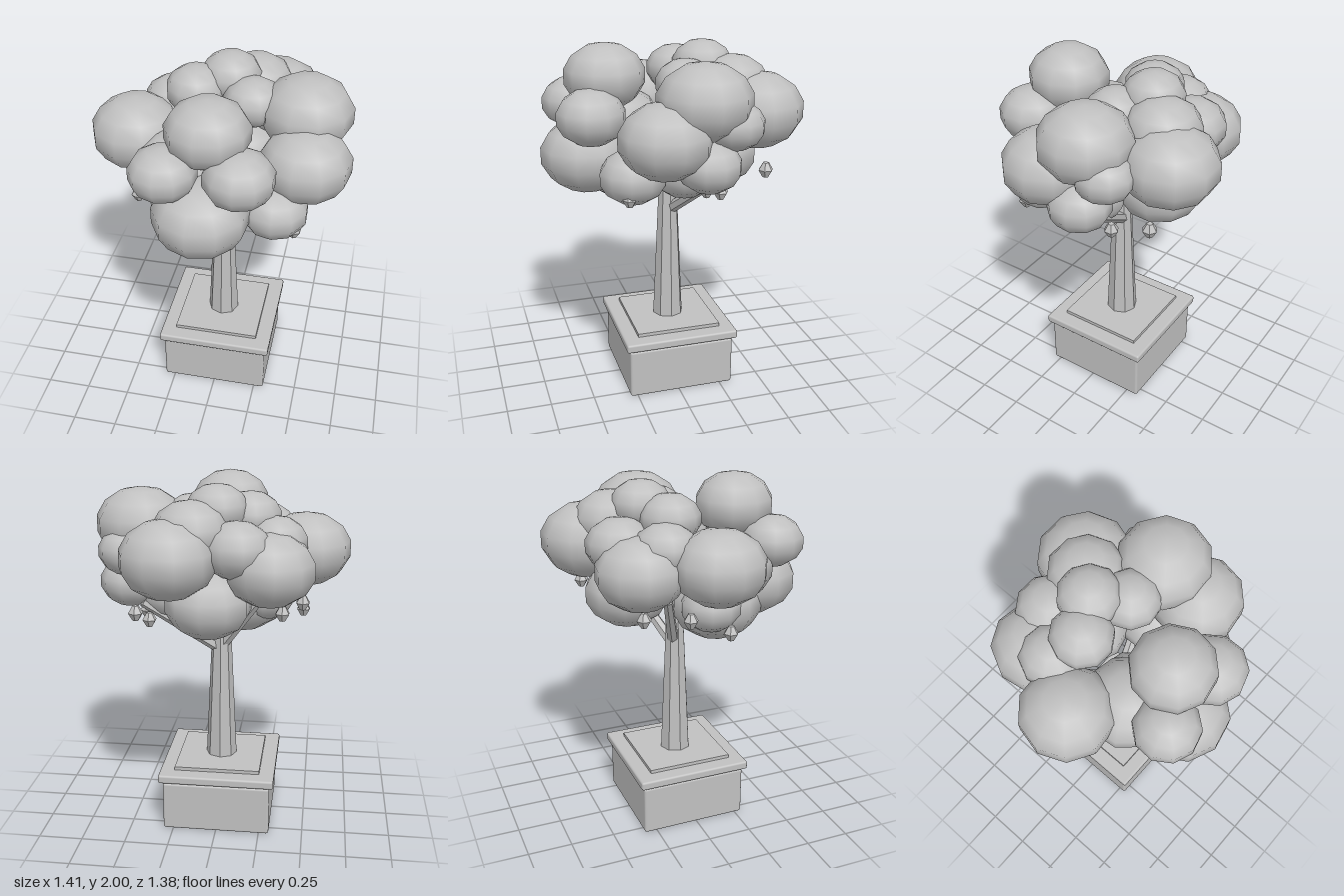
import * as THREE from 'three';
import { RoundedBoxGeometry } from 'three/addons/geometries/RoundedBoxGeometry.js';

export function createModel() {
  const model = new THREE.Group();
  model.name = 'pottedTree';
  const grey = new THREE.MeshStandardMaterial({ color: 0xc0c0c0 });
  grey.name = 'grey';

  const add = (name, geometry, parent = model) => {
    const mesh = new THREE.Mesh(geometry, grey);
    mesh.name = name;
    parent.add(mesh);
    return mesh;
  };
  const group = (name) => {
    const g = new THREE.Group();
    g.name = name;
    model.add(g);
    return g;
  };
  const flat = (geometry) => {
    const g = geometry.toNonIndexed();
    g.computeVertexNormals();
    return g;
  };

  // Square planter with a rim and a raised bed of soil
  const planter = group('planter');
  const slab = (name, width, y0, y1, bevel) => {
    const geometry = bevel
      ? new RoundedBoxGeometry(width, y1 - y0, width, 2, bevel)
      : new THREE.BoxGeometry(width, y1 - y0, width);
    add(name, geometry, planter).position.set(0, (y0 + y1) / 2, -0.016);
  };
  slab('planterBody', 0.615, 0, 0.29, 0.014);
  slab('planterNeck', 0.58, 0.27, 0.31, 0);
  slab('planterRim', 0.66, 0.3, 0.35, 0.012);
  slab('soil', 0.49, 0.33, 0.37, 0);

  // Tapered limb between two points
  const limb = (name, from, to, r0, r1, sides, parent) => {
    const a = new THREE.Vector3(...from);
    const b = new THREE.Vector3(...to);
    const dir = b.clone().sub(a);
    const mesh = add(name, flat(new THREE.CylinderGeometry(r1, r0, dir.length(), sides)), parent);
    mesh.position.copy(a).add(b).multiplyScalar(0.5);
    mesh.quaternion.setFromUnitVectors(new THREE.Vector3(0, 1, 0), dir.normalize());
  };
  const wood = group('wood');
  limb('trunk', [0, 0.36, -0.016], [0, 1.25, -0.016], 0.09, 0.05, 8, wood);
  limb('branchLeft', [0.02, 1.04, -0.03], [0.42, 1.33, -0.17], 0.034, 0.026, 6, wood);
  limb('branchRight', [-0.01, 1.06, -0.03], [-0.24, 1.38, -0.15], 0.034, 0.026, 6, wood);

  // Leaf clumps: x, y, z, horizontal radius
  const clumps = [
    [0.225, 1.64, -0.45, 0.255],
    [0.43, 1.75, -0.085, 0.25],
    [-0.465, 1.61, 0.045, 0.247],
    [0.46, 1.57, 0.13, 0.245],
    [-0.01, 1.82, 0.335, 0.22],
    [-0.03, 1.39, 0.44, 0.255],
    [-0.21, 1.645, 0.475, 0.175],
    [0.17, 1.645, 0.45, 0.185],
    [0.33, 1.355, 0.27, 0.178],
    [-0.1, 1.3, 0.19, 0.26],
    [-0.2, 1.52, 0.22, 0.24],
    [-0.29, 1.57, -0.32, 0.24],
    [-0.31, 1.69, -0.19, 0.17],
    [-0.17, 1.81, -0.11, 0.165],
    [-0.12, 1.68, -0.37, 0.185],
    [0.12, 1.76, -0.34, 0.205],
    [0.0, 1.86, -0.21, 0.165],
    [0.145, 1.79, -0.07, 0.16],
    [0.48, 1.63, -0.23, 0.158],
    [0.5, 1.43, -0.09, 0.17],
    [0.04, 1.37, -0.285, 0.235],
    [-0.24, 1.32, 0.1, 0.168],
    [0.3, 1.365, -0.02, 0.19],
  ];
  const foliage = group('foliage');
  const ball = new THREE.SphereGeometry(1, 10, 7);
  clumps.forEach(([x, y, z, r], i) => {
    const clump = add('leafClump', ball, foliage);
    clump.position.set(x, y, z);
    clump.scale.set(r * 1.02, r * 0.82, r * 1.02);
    clump.rotation.y = i * 1.3;
  });

  // Small faceted fruits hanging under the crown
  const fruits = group('fruits');
  const profile = [[0, -0.04], [0.017, -0.04], [0.041, 0], [0.017, 0.04], [0, 0.04]];
  const gem = flat(new THREE.LatheGeometry(profile.map((p) => new THREE.Vector2(...p)), 6));
  [
    [-0.46, 1.24, 0.12],
    [-0.46, 1.34, -0.11],
    [-0.36, 1.34, -0.33],
    [0.4, 1.35, -0.445],
    [0.38, 1.24, -0.2],
    [0.41, 1.27, -0.11],
    [0.44, 1.27, 0.315],
  ].forEach((p) => add('fruit', gem, fruits).position.set(...p));

  return model;
}
